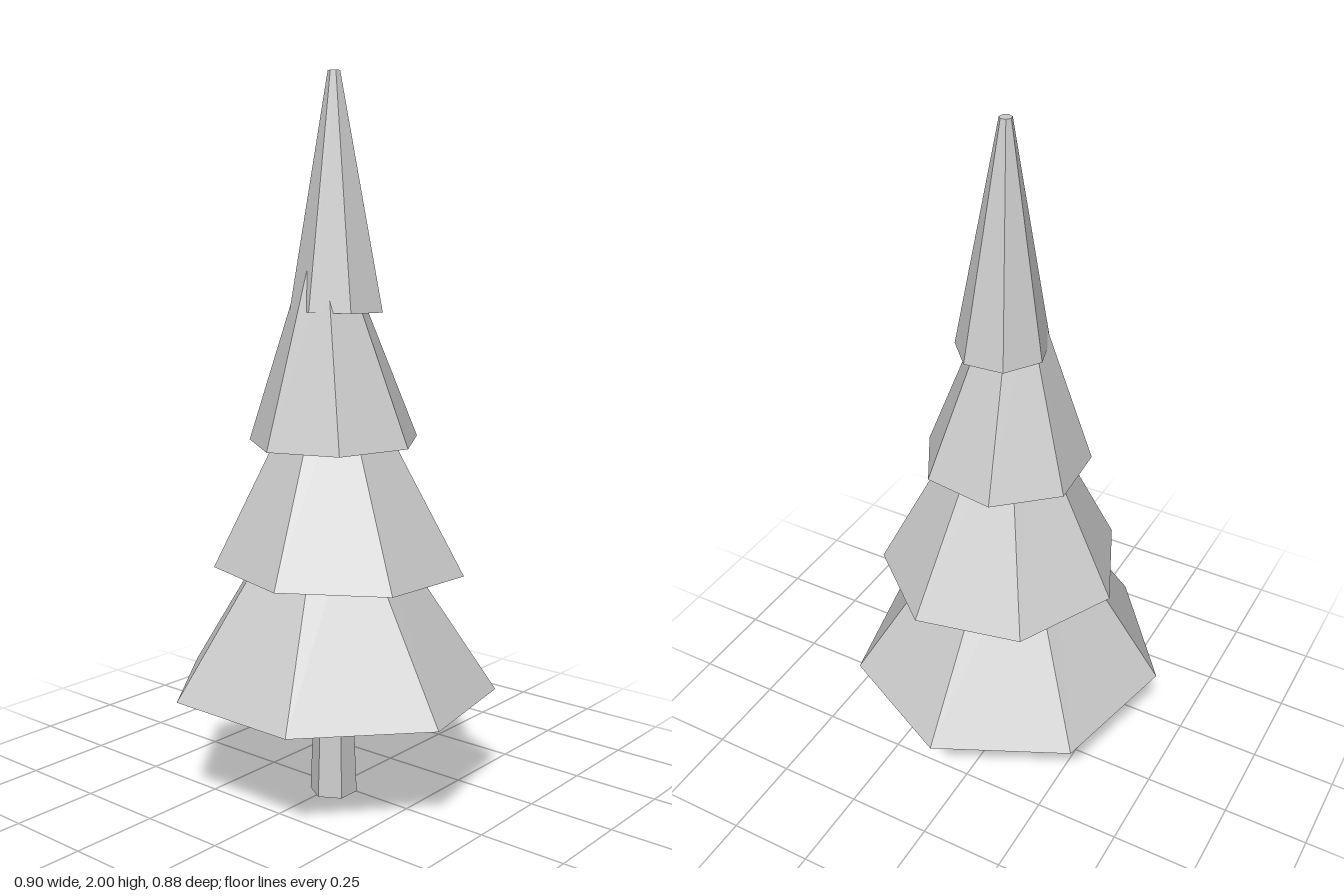
import * as THREE from 'three';

// Faceted frustum between two off-centre rings [x, y, z, radius];
// phase is the angle of one corner in degrees, tilt slopes the lower rim in x and z.
function frustum(sides, bottom, top, phase, tilt = [0, 0]) {
  const start = THREE.MathUtils.degToRad(90 - phase);
  const geo = new THREE.CylinderGeometry(1, 1, 2, sides, 1, false, start).toNonIndexed();
  const p = geo.attributes.position;
  for (let i = 0; i < p.count; i++) {
    const upper = p.getY(i) > 0;
    const [cx, cy, cz, r] = upper ? top : bottom;
    const dx = p.getX(i) * r, dz = p.getZ(i) * r;
    const slope = upper ? 0 : dx * tilt[0] + dz * tilt[1];
    p.setXYZ(i, cx + dx, cy + slope, cz + dz);
  }
  geo.computeVertexNormals();
  return geo;
}

export function createModel() {
  const group = new THREE.Group();
  group.name = 'tree';
  const grey = new THREE.MeshStandardMaterial({ color: 0xcccccc, flatShading: true });
  grey.name = 'light grey';

  const add = (name, geo) => {
    const mesh = new THREE.Mesh(geo, grey);
    mesh.name = name;
    group.add(mesh);
  };

  // Six-sided trunk, slightly tapered
  add('trunk', frustum(6, [0.012, 0, 0.032, 0.067], [0.01, 0.36, 0.03, 0.053], 90));

  // Seven-sided foliage tiers, each turned and leaning a little
  const tiers = [
    ['lowestFoliage', [0, 0.311, 0.021, 0.461], [-0.006, 0.84, 0.031, 0.116], -89.4, [0, 0.032]],
    ['lowerFoliage', [0.018, 0.662, 0.011, 0.352], [0.021, 1.2, 0.043, 0.073], -75.3, [-0.016, 0.018]],
    ['upperFoliage', [0.017, 1.016, 0.033, 0.239], [0.012, 1.5, 0.061, 0.063], -4.5, [0, -0.022]],
    ['topFoliage', [0.025, 1.373, 0.028, 0.13], [0.022, 2, 0.04, 0.017], -16.5, [-0.015, 0.01]],
  ];
  for (const [name, bottom, top, phase, tilt] of tiers) {
    add(name, frustum(7, bottom, top, phase, tilt));
  }
  return group;
}
